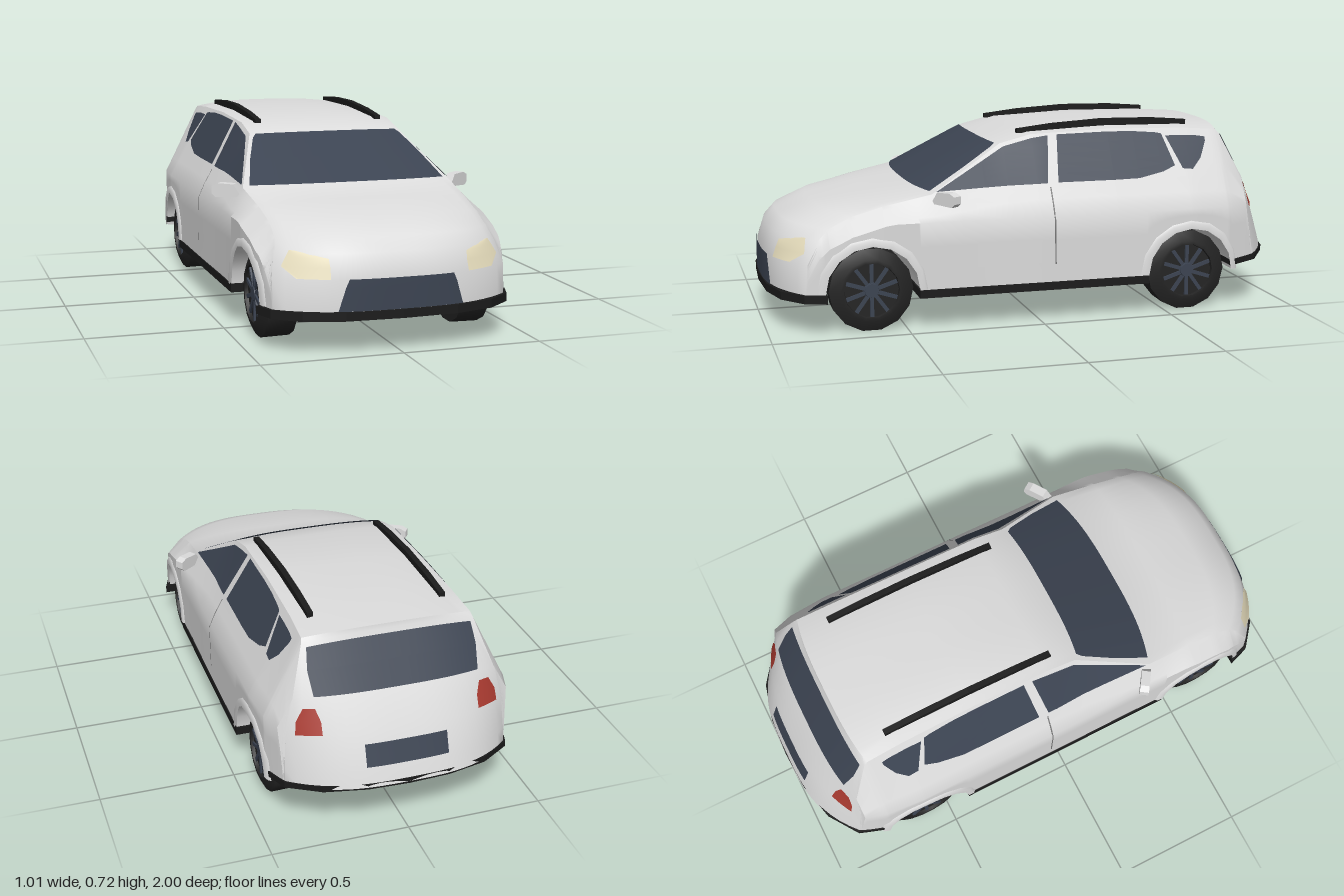
import * as THREE from 'three';
import { mergeGeometries, toCreasedNormals } from 'three/addons/utils/BufferGeometryUtils.js';

const mat = (name, color, side = THREE.FrontSide) => {
  const m = new THREE.MeshStandardMaterial({ color, side });
  m.name = name;
  return m;
};

// Centre line of the shell from nose to tail: [z, y] at the middle, [x, y, z] at its edge
const STATIONS = [
  [0.985, 0.14, 0.42, 0.14, 0.87], [0.985, 0.26, 0.42, 0.26, 0.86],
  [0.96, 0.345, 0.4, 0.34, 0.82], [0.92, 0.39, 0.388, 0.38, 0.78],
  [0.8, 0.44, 0.385, 0.42, 0.7], [0.6, 0.472, 0.39, 0.455, 0.58],
  [0.45, 0.497, 0.4, 0.493, 0.4], [0.14, 0.66, 0.3, 0.655, 0.12],
  [0, 0.697, 0.3, 0.685, 0], [-0.3, 0.715, 0.3, 0.695, -0.3],
  [-0.6, 0.711, 0.305, 0.69, -0.6], [-0.765, 0.7, 0.31, 0.68, -0.74],
  [-0.768, 0.682, 0.315, 0.665, -0.755], [-0.87, 0.5, 0.37, 0.5, -0.83],
  [-0.94, 0.38, 0.4, 0.37, -0.845], [-0.985, 0.25, 0.41, 0.25, -0.86],
  [-1, 0.2, 0.41, 0.19, -0.87],
];
// Half width of the lower body along z
const WIDTH = [[0.87, 0.42], [0.82, 0.435], [0.75, 0.45], [0.6, 0.46], [0.3, 0.457], [0, 0.46],
  [-0.3, 0.46], [-0.6, 0.462], [-0.75, 0.45], [-0.83, 0.425], [-0.87, 0.41]];
const EDGE = STATIONS.map(([, , x, y, z]) => [z, x, y]);
const AXLES = [0.63, -0.59], AXLE_Y = 0.155, ARCH_R = 0.175;

// Linear lookup in a table sorted by falling z
function lookup(table, z, k) {
  let i = 0;
  while (i < table.length - 2 && z < table[i + 1][0]) i++;
  const [a, b] = [table[i], table[i + 1]];
  const t = THREE.MathUtils.clamp((a[0] - z) / (a[0] - b[0]), 0, 1);
  return a[k] + (b[k] - a[k]) * t;
}

// Surface through a grid of points
function grid(rows, flip = false) {
  const n = rows[0].length, index = [];
  for (let i = 0; i < rows.length - 1; i++) {
    for (let j = 0; j < n - 1; j++) {
      const a = i * n + j, b = a + 1, c = a + n, d = c + 1;
      index.push(...(flip ? [a, c, b, b, c, d] : [a, b, c, b, d, c]));
    }
  }
  const g = new THREE.BufferGeometry();
  g.setAttribute('position', new THREE.Float32BufferAttribute(rows.flat(2), 3));
  g.setIndex(index);
  g.computeVertexNormals();
  return g;
}

// Point on the top shell at station s and sideways position x
function shellPoint(s, x, off = 0) {
  const i = Math.min(Math.floor(s), STATIONS.length - 2), f = s - i;
  const [z0, y0, xe, ye, ze] = STATIONS[i].map((v, k) => v + (STATIONS[i + 1][k] - v) * f);
  const c = Math.pow(Math.abs(x) / xe, 3);
  const p = [x, y0 + (ye - y0) * c, z0 + (ze - z0) * c];
  if (!off) return p;
  const P = (ds, dx) => new THREE.Vector3(...shellPoint(s + ds, x + dx));
  const e = 0.01;
  const normal = P(0, e).sub(P(0, -e)).cross(P(e, 0).sub(P(-e, 0))).normalize();
  return new THREE.Vector3(...p).addScaledVector(normal, off).toArray();
}

// Thin plate on the top shell, from rows of [station, x0, x1]
const shellPatch = (rows, n = 12) => grid(rows.map(([s, x0, x1]) =>
  Array.from({ length: n + 1 }, (_, j) => shellPoint(s, x0 + (x1 - x0) * j / n, 0.005))));

// Lower border of the side panel, with the wheel arches
function bottomY(z) {
  let y = z < -0.7 ? 0.185 : 0.14;
  for (const a of AXLES) {
    const d = ARCH_R ** 2 - (z - a) ** 2;
    if (d >= -1e-9) y = Math.max(y, AXLE_Y + Math.sqrt(Math.max(d, 0)));
  }
  return y;
}
const shoulderY = (z) => Math.min(0.4, lookup(EDGE, z, 2) - 0.06);

// Half width of the side panel at z, y
function sideX(z, y) {
  const w = lookup(WIDTH, z, 1), xe = lookup(EDGE, z, 1), ye = lookup(EDGE, z, 2), ys = shoulderY(z);
  const t = THREE.MathUtils.clamp((y - ys) / (ye - ys), 0, 1);
  return w + (xe - w) * t;
}

// Thin plate on one side, from rows of [z, y] at the bottom and [z, y] at the top
const sidePatch = (rows, side, n = 5) => grid(rows.map(([zb, yb, zt, yt]) =>
  Array.from({ length: n + 1 }, (_, j) => {
    const z = zb + (zt - zb) * j / n, y = yb + (yt - yb) * j / n;
    return [side * (sideX(z, y) + 0.005), y, z];
  })), side > 0);

function shellGeometry() {
  const top = grid(STATIONS.map((st, s) =>
    Array.from({ length: 25 }, (_, j) => shellPoint(s, st[2] * (j / 12 - 1)))));
  const zs = [...EDGE, ...WIDTH].map((r) => r[0]);
  for (const a of AXLES) {
    for (let i = 0; i <= 12; i++) zs.push(a + ARCH_R * Math.cos(i * Math.PI / 12));
    zs.push(a + ARCH_R + 0.001, a - ARCH_R - 0.001);
  }
  const columns = [...new Set(zs)].sort((a, b) => b - a);
  const sides = [1, -1].map((side) => grid(columns.map((z) => {
    const ye = lookup(EDGE, z, 2), yb = Math.min(bottomY(z), ye);
    const ys = Math.max(yb, shoulderY(z));
    const ySteps = [0, 1, 2, 3].map((k) => yb + (ys - yb) * k / 3);
    for (let k = 1; k <= 5; k++) ySteps.push(ys + (ye - ys) * k / 5);
    return ySteps.map((y) => [side * sideX(z, y), y, z]);
  }), side > 0));
  return toCreasedNormals(mergeGeometries([top, ...sides]), 0.65);
}

// Flat plate from half a plan outline of [x, z], hanging down from y
function planPlate(half, y, depth) {
  const pts = [...half, ...half.slice().reverse().map(([x, z]) => [-x, z])];
  const g = new THREE.ExtrudeGeometry(new THREE.Shape(pts.map((p) => new THREE.Vector2(...p))),
    { depth, bevelEnabled: false });
  return g.rotateX(Math.PI / 2).translate(0, y, 0);
}

export function createModel() {
  const car = new THREE.Group();
  car.name = 'car';
  const paint = mat('body paint', 0xdcdcdc, THREE.DoubleSide);
  const glass = mat('dark glass', 0x3c4452, THREE.DoubleSide);
  const trim = mat('black trim', 0x1b1b1b);
  const rubber = mat('tyre rubber', 0x242424);
  const lamp = mat('headlight cream', 0xe2d9b9, THREE.DoubleSide);
  const red = mat('tail light red', 0xa83a30, THREE.DoubleSide);
  const seamGrey = mat('seam grey', 0x777777, THREE.DoubleSide);
  const add = (name, geometry, material, parent = car) => {
    const m = new THREE.Mesh(geometry, material);
    m.name = name;
    parent.add(m);
    return m;
  };

  add('bodyShell', shellGeometry(), paint);

  // Glass and dark panels on the centre line
  add('windshield', shellPatch([[6.02, -0.375, 0.375], [6.5, -0.336, 0.336], [6.9, -0.295, 0.295],
    [6.97, -0.28, 0.28]], 24), glass);
  add('rearWindow', shellPatch([[12.08, -0.3, 0.3], [12.5, -0.308, 0.308], [12.97, -0.3, 0.3]], 24), glass);
  add('grille', shellPatch([[0.12, -0.222, 0.222], [0.8, -0.197, 0.197], [1.02, -0.185, 0.185]]), glass);
  add('rearPanel', shellPatch([[14.25, -0.15, 0.15], [14.85, -0.15, 0.15]]), glass);

  // Black floor, front lip and rear lip
  add('floor', planPlate([[0.462, 0.46], [0.465, -0.42]], 0.153, 0.03), trim);
  add('frontLip', planPlate([[0.458, 0.795], [0.43, 0.875], [0.34, 0.948], [0.2, 0.985], [0, 0.995]],
    0.153, 0.03), trim);
  const rearLip = planPlate([[0, -1], [0.15, -0.992], [0.3, -0.955], [0.415, -0.875], [0.43, -0.83],
    [0.452, -0.76]], 0.19, 0.022);
  const rp = rearLip.attributes.position;
  for (let i = 0; i < rp.count; i++) rp.setY(i, rp.getY(i) - (rp.getZ(i) + 0.76) * 0.1);
  add('rearLip', rearLip, trim);

  // Wheel wells across the underside
  for (const a of AXLES) {
    add('wheelWell', grid(Array.from({ length: 13 }, (_, i) => {
      const t = i * Math.PI / 12, y = AXLE_Y + ARCH_R * Math.sin(t), z = a + ARCH_R * Math.cos(t);
      return [[-sideX(z, y), y, z], [sideX(z, y), y, z]];
    }), true), paint);
  }

  // Wheel: tyre with a sunk rim and spokes, axle along x
  const tyre = toCreasedNormals(new THREE.LatheGeometry([[0, -0.065], [0.153, -0.065], [0.155, 0.04],
    [0.115, 0.06], [0.102, 0.06], [0.1, 0.047], [0, 0.047]].map((p) => new THREE.Vector2(...p)), 14)
    .rotateZ(-Math.PI / 2), 0.5);
  const spoke = new THREE.BoxGeometry(0.008, 0.075, 0.014).translate(0.05, 0.06, 0);
  const hub = new THREE.CylinderGeometry(0.026, 0.03, 0.012, 12).rotateZ(-Math.PI / 2).translate(0.051, 0, 0);

  for (const side of [1, -1]) {
    const label = side > 0 ? 'left' : 'right';
    const at = (s, x0, x1) => (side > 0 ? [s, x0, x1] : [s, -x1, -x0]);

    // Side windows and door seam
    add(label + 'FrontWindow', sidePatch([[0.385, 0.501, 0.38, 0.503], [0.2, 0.508, 0.2, 0.597],
      [0.11, 0.511, 0.11, 0.645], [0, 0.513, 0, 0.672], [-0.04, 0.514, -0.065, 0.68]], side), glass);
    add(label + 'RearDoorWindow', sidePatch([[-0.08, 0.515, -0.1, 0.682], [-0.3, 0.515, -0.3, 0.686],
      [-0.4, 0.517, -0.4, 0.684], [-0.5, 0.537, -0.49, 0.677], [-0.55, 0.557, -0.515, 0.672]], side), glass);
    add(label + 'QuarterWindow', sidePatch([[-0.58, 0.545, -0.53, 0.664], [-0.62, 0.541, -0.6, 0.664],
      [-0.66, 0.58, -0.66, 0.66], [-0.69, 0.64, -0.69, 0.655]], side), glass);
    add(label + 'DoorSeam', sidePatch([[-0.05, 0.22, -0.045, 0.5], [-0.055, 0.22, -0.05, 0.5]], side), seamGrey);

    // Lights
    add(label + 'Headlight', shellPatch([at(1.02, 0.245, 0.35), at(1.45, 0.243, 0.388),
      at(1.8, 0.245, 0.372), at(2.12, 0.345, 0.358)]), lamp);
    add(label + 'TailLight', shellPatch([at(13.25, 0.3, 0.34), at(13.6, 0.285, 0.365),
      at(13.95, 0.285, 0.37)]), red);

    // Roof rail
    const rail = new THREE.Shape([[0.04, 0.685], [0.04, 0.7], [-0.1, 0.716], [-0.3, 0.728], [-0.5, 0.725],
      [-0.64, 0.714], [-0.64, 0.685]].map((p) => new THREE.Vector2(...p)).reverse());
    add(label + 'RoofRail', new THREE.ExtrudeGeometry(rail, { depth: 0.022, bevelEnabled: false })
      .rotateY(-Math.PI / 2).translate(0.011 + side * 0.245, 0, 0), trim);

    // Door mirror, swept back
    const housing = new THREE.Shape([[-0.02, -0.02], [0.08, -0.025], [0.095, -0.012], [0.093, 0.015],
      [0.07, 0.026], [0.01, 0.024]].map((p) => new THREE.Vector2(...p)));
    const mirror = add(label + 'Mirror', new THREE.ExtrudeGeometry(housing, { depth: 0.035, bevelEnabled: false })
      .rotateY(0.6).translate(0.405, 0.481, 0.365), paint);
    mirror.scale.x = side;

    for (const a of AXLES) {
      // Flared lip round the arch
      add(label + 'ArchLip', grid(Array.from({ length: 9 }, (_, i) => {
        const t = i * Math.PI / 8;
        return [[0.17, 0.008], [0.192, 0.008], [0.2, 0]].map(([r, out]) => {
          const z = a + r * Math.cos(t), y = AXLE_Y + r * Math.sin(t);
          return [side * (sideX(z, y) + out), y, z];
        });
      }), side > 0), paint);

      const wheel = new THREE.Group();
      wheel.name = label + (a > 0 ? 'FrontWheel' : 'RearWheel');
      wheel.position.set(side * 0.37, AXLE_Y, a);
      if (side < 0) wheel.rotation.y = Math.PI;
      add('tyre', tyre, rubber, wheel);
      add('hub', hub, glass, wheel);
      for (let i = 0; i < 10; i++) add('spoke', spoke, glass, wheel).rotation.x = i * Math.PI / 5;
      car.add(wheel);
    }
  }
  return car;
}
